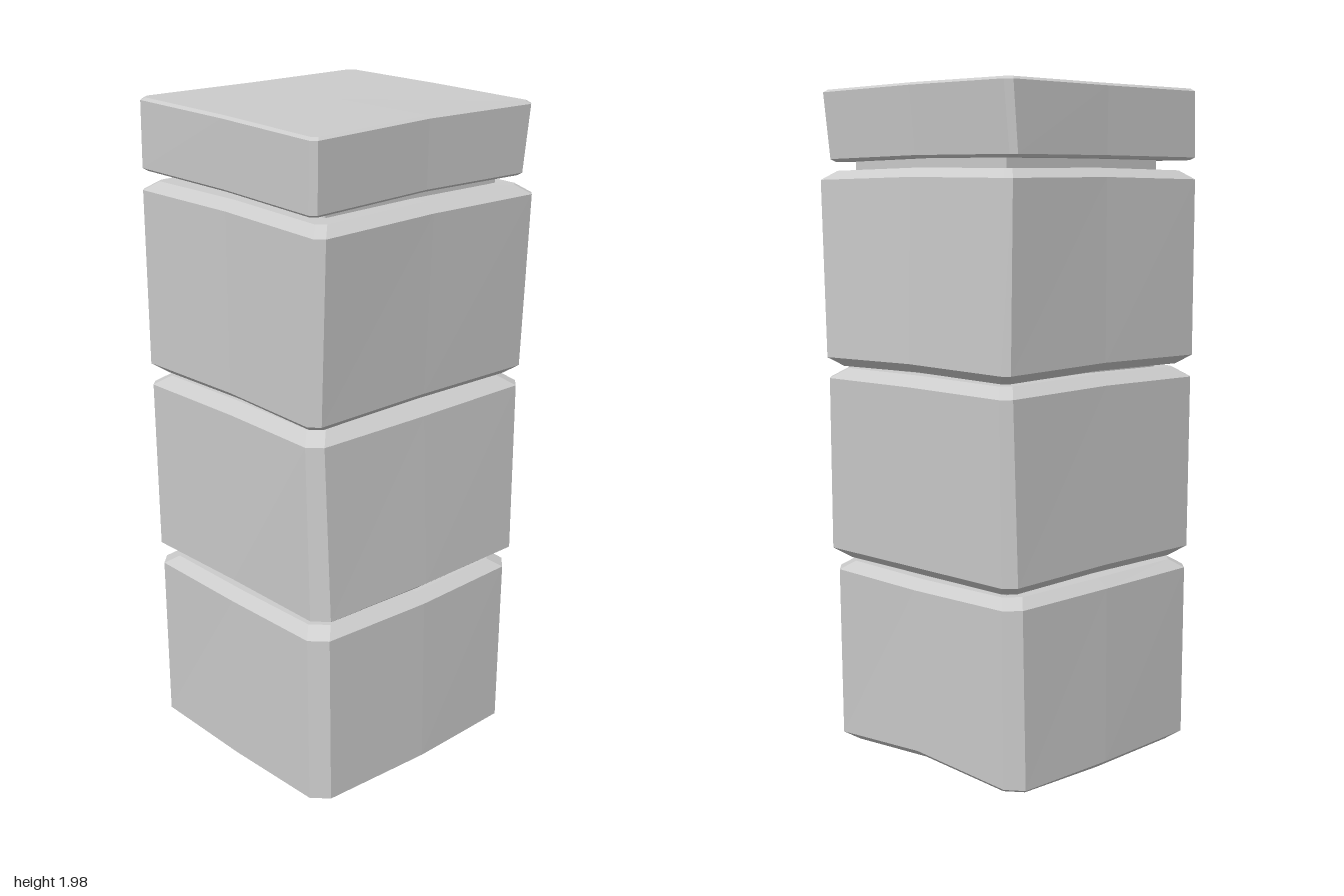
import * as THREE from 'three';

const material = new THREE.MeshStandardMaterial({ color: 0xcccccc, flatShading: true });
const LEFT = 0.41, BACK = 0.385;

// Repeatable unevenness between -1 and 1
const wobble = (seed) => Math.sin(seed * 12.9 + 1);

// Outline of a worn rectangle: cut corners, and sides that bend slightly at the middle
function ring([right, front, y], seed, inset = 0, shift = 0) {
  const corners = [[-LEFT, front], [right, front], [right, -BACK], [-LEFT, -BACK]];
  const points = [];
  corners.forEach(([x, z], i) => {
    const cut = 0.03 + 0.015 * wobble(seed + i);
    const bend = 0.008 * wobble(seed + i + 0.5);
    const h = y + shift + 0.006 * wobble(seed + 2 * i);
    const cx = x - Math.sign(x) * inset, cz = z - Math.sign(z) * inset;
    const alongX = [cx - Math.sign(x) * cut, h, cz];
    const alongZ = [cx, h, cz - Math.sign(z) * cut];
    const onX = i % 2 === 0; // this corner is followed by a side running along x
    const mid = onX ? [0, y + shift, cz + Math.sign(z) * bend] : [cx + Math.sign(x) * bend, y + shift, 0];
    points.push(...(onX ? [alongZ, alongX, mid] : [alongX, alongZ, mid]));
  });
  return points;
}

// Skin stacked rings and close both ends with fans
function skin(rings) {
  const pos = [], n = rings[0].length;
  const tri = (...p) => p.forEach((v) => pos.push(...v));
  const centre = (r) => [0, 1, 2].map((k) => r.reduce((s, p) => s + p[k], 0) / n);
  const bottom = rings[0], top = rings[rings.length - 1];
  const bottomCentre = centre(bottom), topCentre = centre(top);
  for (let i = 0; i < n; i++) {
    const j = (i + 1) % n;
    for (let k = 1; k < rings.length; k++) {
      const lo = rings[k - 1], hi = rings[k];
      tri(lo[i], lo[j], hi[j]);
      tri(lo[i], hi[j], hi[i]);
    }
    tri(bottomCentre, bottom[j], bottom[i]);
    tri(topCentre, top[i], top[j]);
  }
  const geo = new THREE.BufferGeometry();
  geo.setAttribute('position', new THREE.Float32BufferAttribute(pos, 3));
  geo.computeVertexNormals();
  return geo;
}

// Wall foot and wall head as [right, front, height], then the bevel width
const stones = [
  { name: 'baseStone', foot: [0.38, 0.385, 0.04], head: [0.39, 0.38, 0.56], bevel: 0.035 },
  { name: 'lowerMiddleStone', foot: [0.4, 0.39, 0.63], head: [0.415, 0.37, 1.15], bevel: 0.04 },
  { name: 'upperMiddleStone', foot: [0.415, 0.37, 1.215], head: [0.405, 0.395, 1.735], bevel: 0.035 },
  { name: 'capStone', foot: [0.385, 0.37, 1.795], head: [0.405, 0.375, 1.985], bevel: 0.01 },
];

export function createModel() {
  const group = new THREE.Group();
  group.name = 'stonePillar';

  stones.forEach(({ name, foot, head, bevel }, i) => {
    const seed = i * 3 + 1;
    const mesh = new THREE.Mesh(skin([
      ring(foot, seed, bevel, -0.75 * bevel), ring(foot, seed),
      ring(head, seed + 1), ring(head, seed + 1, bevel, 0.75 * bevel),
    ]), material);
    mesh.name = name;
    group.add(mesh);
  });

  // Underside of the base rises towards its left edge
  const base = group.getObjectByName('baseStone').geometry;
  const p = base.attributes.position;
  for (let i = 0; i < p.count; i++) {
    if (p.getY(i) < 0.1 && p.getX(i) > 0.2) {
      const rise = 0.035 * (1 - Math.abs(p.getZ(i)) / BACK);
      p.setY(i, p.getY(i) + rise);
    }
  }
  base.computeVertexNormals();

  // Inner column showing in the joints
  const core = new THREE.Mesh(new THREE.BoxGeometry(0.64, 1.6, 0.61), material);
  core.name = 'core';
  core.position.set(0.01, 1.1, 0);
  group.add(core);
  return group;
}
